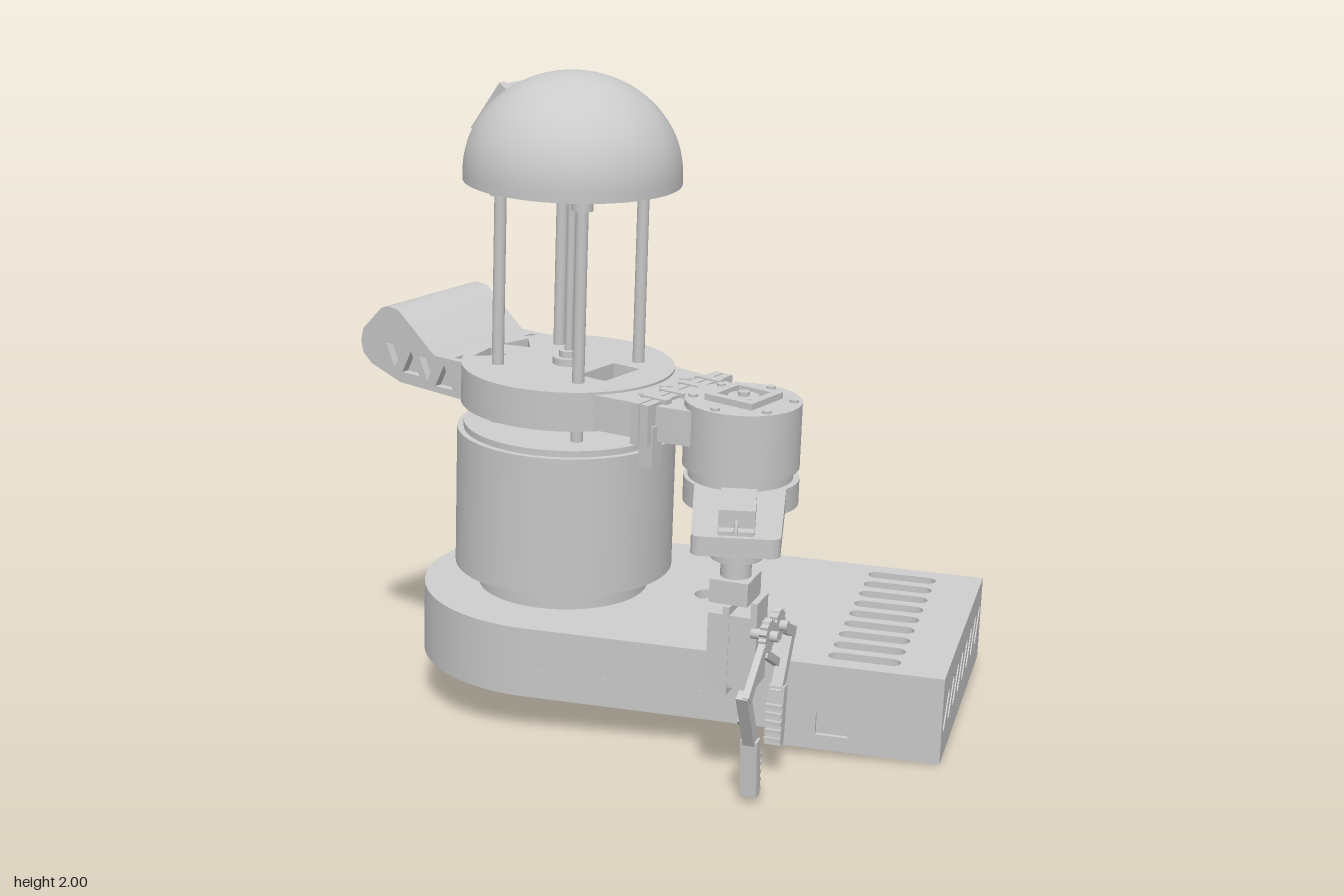
import * as THREE from 'three';
import { toCreasedNormals } from 'three/addons/utils/BufferGeometryUtils.js';

const mat = new THREE.MeshStandardMaterial({ color: 0xcccccc, side: THREE.DoubleSide });

function add(parent, name, geo, x = 0, y = 0, z = 0) {
  const m = new THREE.Mesh(geo, mat);
  m.name = name;
  m.position.set(x, y, z);
  parent.add(m);
  return m;
}
function group(parent, name, x, y, z, ry = 0) {
  const g = new THREE.Group();
  g.name = name;
  g.position.set(x, y, z);
  g.rotation.y = ry;
  parent.add(g);
  return g;
}
const box = (p, name, w, h, d, x, y, z) => add(p, name, new THREE.BoxGeometry(w, h, d), x, y, z);
// Upright cylinder between two heights
const cyl = (p, name, r, y0, y1, x = 0, z = 0, seg = 48) =>
  add(p, name, new THREE.CylinderGeometry(r, r, y1 - y0, seg), x, (y0 + y1) / 2, z);
const poly = (pts, C = THREE.Shape) => new C(pts.map(p => new THREE.Vector2(...p)));
const rect = (x0, y0, x1, y1, C) => poly([[x0, y0], [x1, y0], [x1, y1], [x0, y1]], C);
const disc = (r, C = THREE.Shape, x = 0, y = 0) => new C().absarc(x, y, r, 0, Math.PI * 2);
const extrude = (shape, depth) => toCreasedNormals(
  new THREE.ExtrudeGeometry(shape, { depth, bevelEnabled: false, curveSegments: 24 }), 0.6);
// Plan shape (x, z) raised from y0 to y1
const slab = (shape, y0, y1) => extrude(shape, y1 - y0).rotateX(Math.PI / 2).translate(0, y1, 0);
// Side shape (z, y) with thickness running from x1 down to x0
const side = (shape, x0, x1) => extrude(shape, x1 - x0).rotateY(-Math.PI / 2).translate(x1, 0, 0);

function slot(x, y, len, wid, a) {
  const k = (len - wid) / 2, dx = k * Math.cos(a), dy = k * Math.sin(a), q = Math.PI / 2;
  return new THREE.Path().absarc(x + dx, y + dy, wid / 2, a - q, a + q)
    .absarc(x - dx, y - dy, wid / 2, a + q, a + 3 * q);
}
function gearShape(r, teeth) {
  const pts = [];
  for (let i = 0; i < teeth * 4; i++) {
    const a = i / (teeth * 4) * Math.PI * 2, k = i % 4 < 2 ? r : r * 0.87;
    pts.push([k * Math.cos(a), k * Math.sin(a)]);
  }
  return poly(pts);
}
// Square bar between two points in the xy plane
function bar(p, name, a, b, w, d, z) {
  const dx = b[0] - a[0], dy = b[1] - a[1];
  const m = box(p, name, w, Math.hypot(dx, dy) + w * 0.6, d, (a[0] + b[0]) / 2, (a[1] + b[1]) / 2, z);
  m.rotation.z = Math.atan2(-dx, dy);
}
// U-shaped plan, round at the back
const uShape = (r, z, C = THREE.Shape) => {
  const s = new C();
  s.moveTo(-r, z);
  s.lineTo(-r, 0);
  s.absarc(0, 0, r, Math.PI, Math.PI * 2);
  s.lineTo(r, z);
  s.closePath();
  return s;
};

function buildBase(root) {
  const g = group(root, 'base', -0.38, 0, -0.35, Math.PI / 4);
  // Top plate with vents
  const top = uShape(0.45, 1.29);
  for (let i = 0; i < 9; i++) top.holes.push(slot(-0.365 + i * 0.0913, 1.035, 0.22, 0.056, Math.PI / 2));
  top.holes.push(rect(-0.35, 0.58, -0.16, 0.74, THREE.Path), disc(0.045, THREE.Path, 0.015, 0.467));
  add(g, 'topPlate', slab(top, 0.31, 0.34));
  // Rear skirt, open underneath
  const wall = uShape(0.45, 0.78);
  wall.holes.push(uShape(0.41, 0.77, THREE.Path));
  add(g, 'rearSkirt', slab(wall, 0.117, 0.31));
  // Front electronics box
  const front = rect(-0.45, 0.067, 0.45, 0.31);
  for (let i = 0; i < 8; i++) front.holes.push(slot(-0.36 + i * 0.104, 0.21, 0.145, 0.036, Math.PI / 4));
  add(g, 'frontPanel', extrude(front, 0.03), 0, 0, 1.26);
  for (const s of [-1, 1]) {
    const panel = rect(0.76, 0.067, 1.26, 0.31);
    const [z, y, k, h] = s > 0 ? [1.0, 0.17, 0.075, 0.055] : [0.96, 0.15, 0.05, 0.036];
    panel.holes.push(rect(z - k, y - h, z + k, y + h, THREE.Path));
    add(g, 'sidePanel', side(panel, s > 0 ? 0.42 : -0.45, s > 0 ? 0.45 : -0.42));
    box(g, 'socket', 0.02, h * 2, k * 2, s * 0.425, y, z);
    for (const w of [0.05, 0.25, 0.55, 1.2])
      add(g, 'sideScrew', new THREE.CylinderGeometry(0.011, 0.011, 0.01, 12).rotateZ(Math.PI / 2), s * 0.448, 0.2, w);
    for (const w of [0.1, 0.5]) cyl(g, 'post', 0.03, 0.13, 0.31, s * 0.38, w, 16);
  }
  box(g, 'floor', 0.9, 0.025, 0.53, 0, 0.08, 1.025);
  box(g, 'partition', 0.9, 0.23, 0.03, 0, 0.18, 0.775);
  // Drive gears under the top plate
  for (const [r, w, u, y] of [[0.15, 0, 0, 0.17], [0.11, 0.37, 0, 0.15], [0.045, 0.6, 0.05, 0.15]]) {
    add(g, 'driveGear', slab(gearShape(r, Math.round(r * 200)), y, y + 0.06), u, 0, w);
    cyl(g, 'gearShaft', r * 0.6, y + 0.06, 0.31, u, w, 24);
    cyl(g, 'gearHub', r * 0.25, y - 0.015, y, u, w, 16);
  }
  box(g, 'motor', 0.2, 0.1, 0.2, 0, 0.26, 0.37);
}

function buildColumn(root) {
  const g = group(root, 'column', -0.385, 0, -0.358, 0.41);
  cyl(g, 'neck', 0.27, 0.34, 0.42, 0, 0, 64);
  cyl(g, 'drum', 0.345, 0.41, 0.855, 0, 0, 72);
  cyl(g, 'drumCap', 0.325, 0.855, 0.875, 0, 0, 72);
  // Mast rods carrying the dome
  for (const x of [-0.157, 0.157]) for (const z of [-0.157, 0.157]) {
    cyl(g, 'rod', 0.019, 0.87, 1.65, x, z, 16);
    cyl(g, 'rodCollar', 0.033, 1.6, 1.65, x, z, 20);
  }
  cyl(g, 'centreRod', 0.013, 0.87, 1.66, 0, 0, 16);
  cyl(g, 'rodSocket', 0.05, 1.06, 1.085, 0, 0, 24);
  cyl(g, 'rodSocketTop', 0.03, 1.085, 1.105, 0, 0, 24);
  // Dome and its underside
  const prof = [new THREE.Vector2(0.338, 1.645)];
  for (let i = 0; i <= 20; i++) {
    const a = i / 20 * Math.PI / 2;
    prof.push(new THREE.Vector2(0.338 * Math.cos(a), 1.675 + 0.308 * Math.sin(a)));
  }
  add(g, 'dome', new THREE.LatheGeometry(prof, 64));
  const under = disc(0.337);
  under.holes.push(disc(0.06, THREE.Path));
  add(g, 'domeFloor', slab(under, 1.645, 1.66));
  const hatch = group(g, 'domeHatch', 0, 1.66, 0, Math.PI);
  hatch.rotation.order = 'YXZ';
  hatch.rotation.x = -0.62;
  box(hatch, 'hatchPlate', 0.19, 0.19, 0.05, 0, 0, 0.302);
  box(hatch, 'hatchEdge', 0.025, 0.19, 0.05, 0.083, 0, 0.31);
}

function buildUpperArm(root) {
  const g = group(root, 'upperArm', -0.385, 0, -0.358, 0.41);
  const plate = disc(0.335);
  plate.holes.push(rect(-0.09, 0.11, 0.09, 0.21, THREE.Path));
  for (const s of [-1, 1]) plate.holes.push(poly([[s * 0.03, -0.29], [s * 0.14, -0.27], [s * 0.06, -0.2]], THREE.Path));
  add(g, 'turntable', slab(plate, 0.94, 1.063));
  // Latticed link to the elbow
  const neck = poly([[-0.22, 0.2], [0.22, 0.2], [0.19, 0.44], [0.15, 0.62], [-0.15, 0.62], [-0.19, 0.44]]);
  for (const x of [-0.11, 0, 0.11])
    neck.holes.push(poly([[x - 0.045, 0.405], [x + 0.045, 0.405], [x, 0.345]], THREE.Path));
  add(g, 'link', slab(neck, 0.945, 1.055));
  for (const z of [0.42, 0.455]) box(g, 'flange', 0.45, 0.13, 0.028, 0, 1.0, z);
  for (const x of [-0.14, -0.05, 0.05, 0.14]) box(g, 'flangeTab', 0.03, 0.02, 0.09, x, 1.06, 0.44);
  for (const s of [-1, 1]) box(g, 'flangeLeg', 0.05, 0.13, 0.05, s * 0.18, 0.93, 0.45);
  // Counterweight housing with pierced sides
  const body = poly([[-0.3, 0.94], [-0.5, 0.95], [-0.62, 0.99], [-0.655, 1.02], [-0.665, 1.06], [-0.655, 1.1],
    [-0.58, 1.18], [-0.55, 1.19], [-0.51, 1.185], [-0.36, 1.063], [-0.3, 1.063]]);
  add(g, 'counterweight', side(body, -0.195, 0.195));
  for (const s of [-1, 1]) {
    const frame = poly([[-0.2, 0.94], [-0.5, 0.95], [-0.62, 0.99], [-0.655, 1.02], [-0.665, 1.06], [-0.655, 1.1],
      [-0.58, 1.18], [-0.55, 1.19], [-0.51, 1.185], [-0.36, 1.063], [-0.2, 1.063]]);
    for (let i = 0; i < 4; i++) {
      const z = -0.32 - i * 0.068, y = 0.965 + i * 0.01, f = i % 2 ? 0.075 : 0;
      frame.holes.push(poly([[z - 0.035, y + f], [z + 0.035, y + f], [z, y + 0.075 - f]], THREE.Path));
    }
    add(g, 'counterweightSide', side(frame, s > 0 ? 0.195 : -0.222, s > 0 ? 0.222 : -0.195));
  }
  // Elbow housing
  const e = group(g, 'elbow', 0, 0, 0.66);
  cyl(e, 'elbowHousing', 0.178, 0.87, 1.075);
  cyl(e, 'elbowNeck', 0.16, 0.82, 0.875);
  const lid = rect(-0.085, -0.085, 0.085, 0.085);
  lid.holes.push(rect(-0.058, -0.058, 0.058, 0.058, THREE.Path));
  add(e, 'elbowLid', slab(lid, 1.07, 1.095));
  cyl(e, 'elbowHub', 0.048, 1.07, 1.087, 0, 0, 24);
  cyl(e, 'elbowBolt', 0.018, 1.08, 1.1, 0, 0, 16);
  for (let i = 0; i < 6; i++) cyl(e, 'elbowScrew', 0.014, 1.07, 1.083, 0.152 * Math.cos(i * 1.047), 0.152 * Math.sin(i * 1.047), 12);
}

function buildForearm(root) {
  const g = group(root, 'forearm', -0.12, 0, 0.25, -0.6);
  cyl(g, 'forearmDisc', 0.176, 0.757, 0.835);
  const s = new THREE.Shape().absarc(0.098, 0.542, 0.03, 0, Math.PI / 2).absarc(-0.098, 0.542, 0.03, Math.PI / 2, Math.PI);
  s.lineTo(-0.14, 0);
  s.lineTo(0.14, 0);
  s.closePath();
  add(g, 'forearmPlate', slab(s, 0.777, 0.835));
  box(g, 'wristServo', 0.105, 0.075, 0.2, 0, 0.872, 0.45);
  box(g, 'servoTab', 0.1, 0.012, 0.27, 0, 0.852, 0.45);
  add(g, 'servoWire', new THREE.CylinderGeometry(0.006, 0.006, 0.1, 8).rotateX(Math.PI / 2), 0, 0.875, 0.6);
}

function buildGripper(root) {
  const g = group(root, 'gripper', -0.4, 0, 0.665, 0.68);
  cyl(g, 'wristDisc', 0.075, 0.755, 0.78, 0, 0, 24);
  cyl(g, 'wristHorn', 0.045, 0.69, 0.76, 0, 0, 24);
  box(g, 'wristBracket', 0.125, 0.07, 0.115, 0, 0.665, 0);
  box(g, 'gripperPlate', 0.1, 0.26, 0.02, 0, 0.51, 0.075);
  box(g, 'gripperServo', 0.085, 0.22, 0.13, 0, 0.48, 0);
  box(g, 'servoEar', 0.09, 0.27, 0.02, 0, 0.48, -0.01);
  // Fingers: geared crank, follower, knuckle bar and padded tip
  for (const [sx, kY, tY] of [[-1, 0.42, 0.08], [1, 0.47, 0.15]]) {
    const f = group(g, sx < 0 ? 'rightFinger' : 'leftFinger', 0, 0, 0);
    add(f, 'fingerGear', extrude(gearShape(0.05, 14), 0.022), sx * 0.046, 0.55, 0.105);
    add(f, 'gearPin', new THREE.CylinderGeometry(0.016, 0.016, 0.08, 12).rotateX(Math.PI / 2), sx * 0.046, 0.55, 0.11);
    const elbow = [sx * 0.21, kY], tip = [sx * 0.125, tY + 0.17];
    bar(f, 'crank', [sx * 0.05, 0.55], elbow, 0.032, 0.02, 0.115);
    bar(f, 'follower', [sx * 0.03, 0.46], [sx * 0.17, kY - 0.09], 0.024, 0.02, 0.09);
    bar(f, 'knuckleBar', elbow, tip, 0.034, 0.035, 0.105);
    bar(f, 'fingerTip', tip, [sx * 0.11, tY + 0.012], 0.034, 0.05, 0.105);
    for (let i = 0; i < 5; i++) box(f, 'gripRidge', 0.012, 0.012, 0.05, sx * 0.094, tY + 0.02 + i * 0.026, 0.105);
  }
}

export function createModel() {
  const model = new THREE.Group();
  model.name = 'robotArm';
  // The whole machine leans slightly forward
  const root = group(model, 'tiltedBody', 0, 0, 0);
  root.rotation.x = 0.073;
  [buildBase, buildColumn, buildUpperArm, buildForearm, buildGripper].forEach(b => b(root));
  return model;
}
